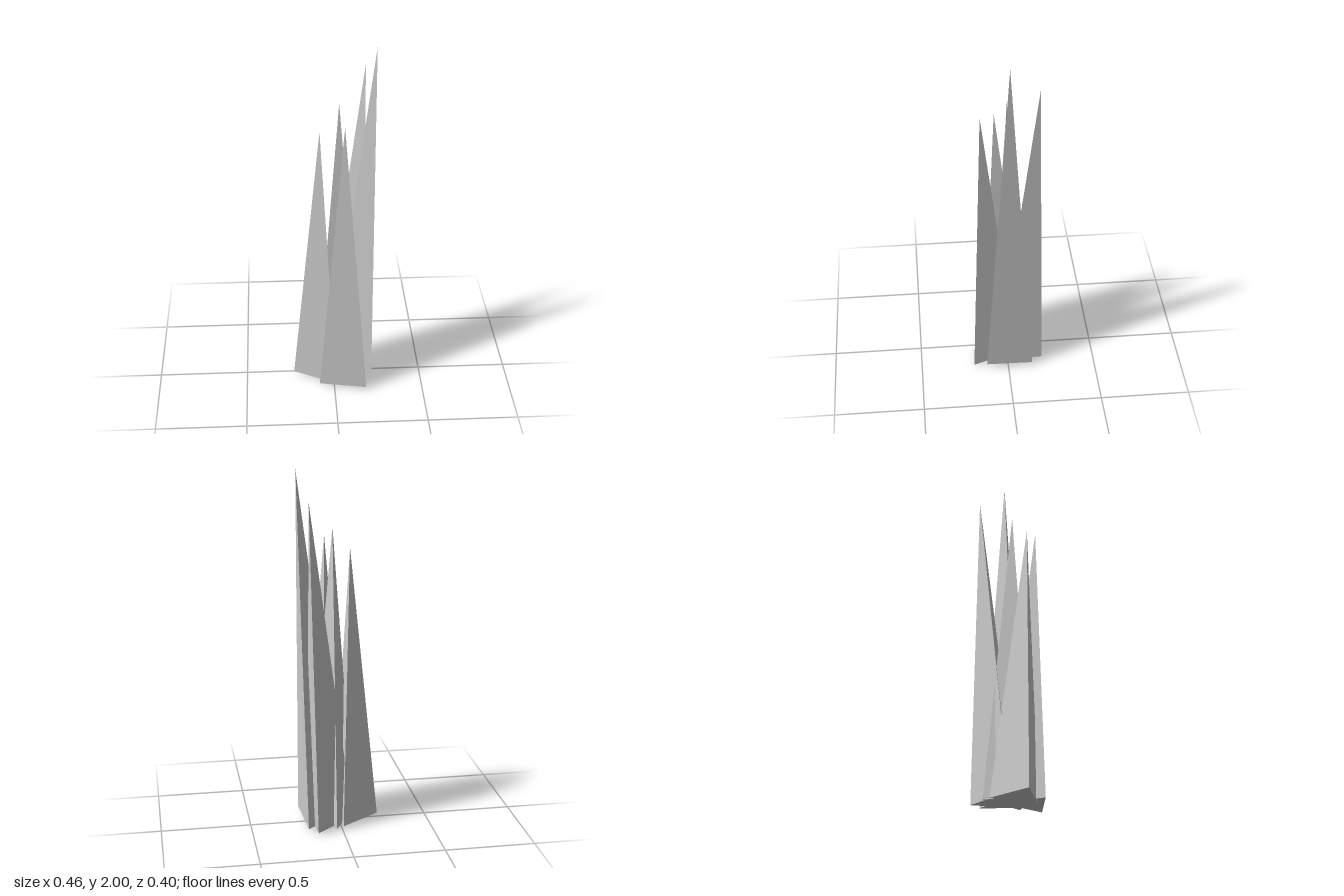
import * as THREE from 'three';

// Three-sided shard from an apex and three base corners
function shard(name, apex, corners, material) {
  const [a, b, c] = corners.map((p) => new THREE.Vector3(...p));
  const tip = new THREE.Vector3(...apex);
  const up = b.clone().sub(a).cross(c.clone().sub(a)).y;
  const ring = up > 0 ? [a, b, c] : [a, c, b]; // counter-clockwise from above
  const points = [ring[0], ring[2], ring[1]]; // underside
  ring.forEach((p, i) => points.push(p, ring[(i + 1) % 3], tip));
  const geometry = new THREE.BufferGeometry().setFromPoints(points);
  geometry.computeVertexNormals();
  const mesh = new THREE.Mesh(geometry, material);
  mesh.name = name;
  return mesh;
}

export function createModel() {
  const group = new THREE.Group();
  group.name = 'crystalCluster';
  const material = new THREE.MeshStandardMaterial({ color: 0xcccccc, flatShading: true });

  // Upright middle shard, ringed by four leaning ones
  const shards = [
    ['centreShard', [0.032, 1.69, -0.004],
      [[0.033, 0.012, -0.159], [0.167, 0.012, 0.074], [-0.102, 0.012, 0.074]]],
    ['rightShard', [-0.074, 1.56, 0.055],
      [[-0.228, 0.012, 0.02], [-0.009, 0.012, -0.132], [0.012, 0, 0.133]]],
    ['frontShard', [0.055, 1.62, 0.138],
      [[-0.084, 0.012, 0.145], [0.18, 0.012, 0.197], [0.092, 0.018, -0.058]]],
    ['backShard', [0.182, 1.85, -0.161],
      [[0.143, 0.012, -0.2], [-0.075, 0.03, -0.046], [0.167, 0.023, 0.066]]],
    ['leftShard', [0.228, 2, -0.003],
      [[0.213, 0.04, 0.124], [0.189, 0.013, -0.14], [-0.029, 0.03, 0.013]]],
  ];
  for (const [name, apex, corners] of shards) group.add(shard(name, apex, corners, material));
  return group;
}
